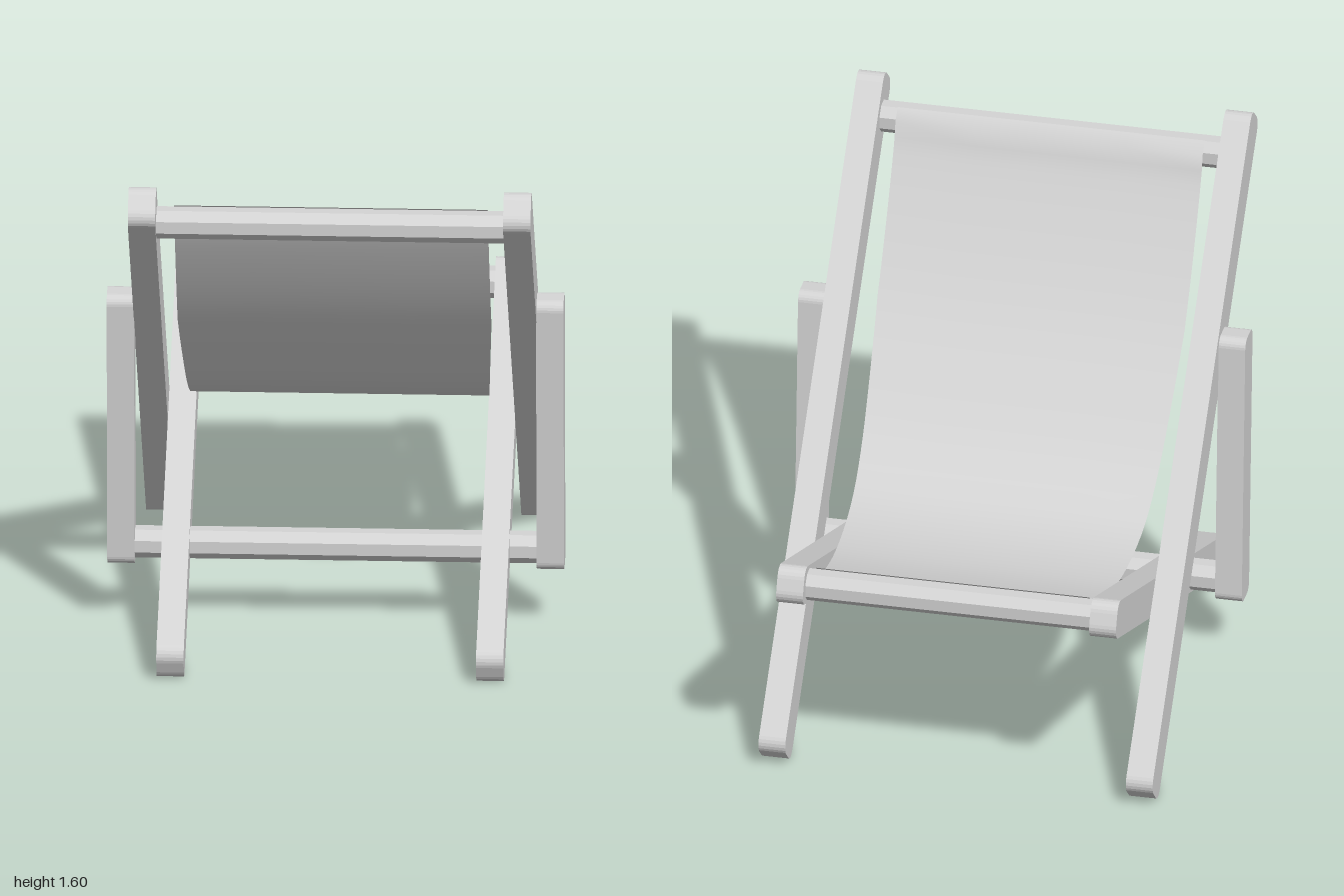
import * as THREE from 'three';

const material = new THREE.MeshStandardMaterial({ color: 0xd4d4d4, side: THREE.DoubleSide });
material.name = 'pale grey';

const THICK = 0.083; // plank thickness across the chair

// Plank with rounded ends, long axis along z, thickness along x
function plankGeometry(length, depth, r) {
  const a = length / 2, b = depth / 2;
  const s = new THREE.Shape();
  s.moveTo(-a + r, -b);
  s.lineTo(a - r, -b);
  s.absarc(a - r, -b + r, r, -Math.PI / 2, 0, false);
  s.absarc(a - r, b - r, r, 0, Math.PI / 2, false);
  s.absarc(-a + r, b - r, r, Math.PI / 2, Math.PI, false);
  s.absarc(-a + r, -b + r, r, Math.PI, Math.PI * 1.5, false);
  const g = new THREE.ExtrudeGeometry(s, { depth: THICK, bevelEnabled: false, curveSegments: 3 });
  g.translate(0, 0, -THICK / 2);
  g.rotateY(-Math.PI / 2);
  return g;
}

// Mirrored pair of planks
function addPlanks(parent, name, { length, depth, r, x, y, z, tilt }) {
  const g = plankGeometry(length, depth, r);
  for (const side of [-1, 1]) {
    const m = new THREE.Mesh(g, material);
    m.name = (side > 0 ? 'left' : 'right') + name;
    m.position.set(side * x, y, z);
    m.rotation.x = -THREE.MathUtils.degToRad(tilt);
    parent.add(m);
  }
}

// Faceted crossbar along x
function addRod(parent, name, halfLength, y, z) {
  const g = new THREE.CylinderGeometry(0.049, 0.049, halfLength * 2, 8).toNonIndexed();
  g.rotateY(Math.PI / 8);
  g.rotateZ(Math.PI / 2);
  g.computeVertexNormals();
  const m = new THREE.Mesh(g, material);
  m.name = name;
  m.position.set(0, y, z);
  parent.add(m);
}

// Sagging fabric sheet, lapped over both rods and narrowing toward the seat front
function slingGeometry() {
  const profile = [
    [0.668, 1.523], [0.637, 1.497], [0.62, 1.44], [0.5, 1.22], [0.365, 1.02], [0.22, 0.85], [0.07, 0.703],
    [-0.07, 0.619], [-0.22, 0.589], [-0.42, 0.598], [-0.6, 0.643], [-0.7, 0.682], [-0.74, 0.72], [-0.77, 0.748],
  ];
  const curve = new THREE.CatmullRomCurve3(profile.map(([z, y]) => new THREE.Vector3(0, y, z)));
  const g = new THREE.PlaneGeometry(2, 1, 4, 40);
  const p = g.attributes.position;
  for (let i = 0; i < p.count; i++) {
    const t = THREE.MathUtils.clamp(0.5 - p.getY(i), 0, 1);
    const c = curve.getPointAt(t);
    const half = 0.475 - 0.075 * Math.max(0, t - 0.3);
    p.setXYZ(i, p.getX(i) * half, c.y, c.z);
  }
  g.computeVertexNormals();
  return g;
}

export function createModel() {
  const model = new THREE.Group();
  model.name = 'deckChair';

  // The chair stands turned on the ground; locally its backrest leans toward +z
  const chair = new THREE.Group();
  chair.name = 'chairFrame';
  chair.rotation.y = THREE.MathUtils.degToRad(26.2);
  chair.position.set(-0.016, 0, 0.008);
  model.add(chair);

  addPlanks(chair, 'BackRail', { length: 2.13, depth: 0.132, r: 0.04, x: 0.568, y: 0.8, z: 0.035, tilt: 46.4 });
  addPlanks(chair, 'SeatRail', { length: 1.735, depth: 0.118, r: 0.04, x: 0.484, y: 0.385, z: -0.062, tilt: -23.4 });
  addPlanks(chair, 'SupportStrut', { length: 0.897, depth: 0.107, r: 0.03, x: 0.65, y: 0.642, z: 0.262, tilt: 86.6 });

  addRod(chair, 'topRod', 0.568, 1.475, 0.688);
  addRod(chair, 'seatFrontRod', 0.484, 0.7, -0.79);
  addRod(chair, 'lowerRod', 0.65, 0.253, 0.24);

  const sling = new THREE.Mesh(slingGeometry(), material);
  sling.name = 'fabricSling';
  chair.add(sling);

  return model;
}
